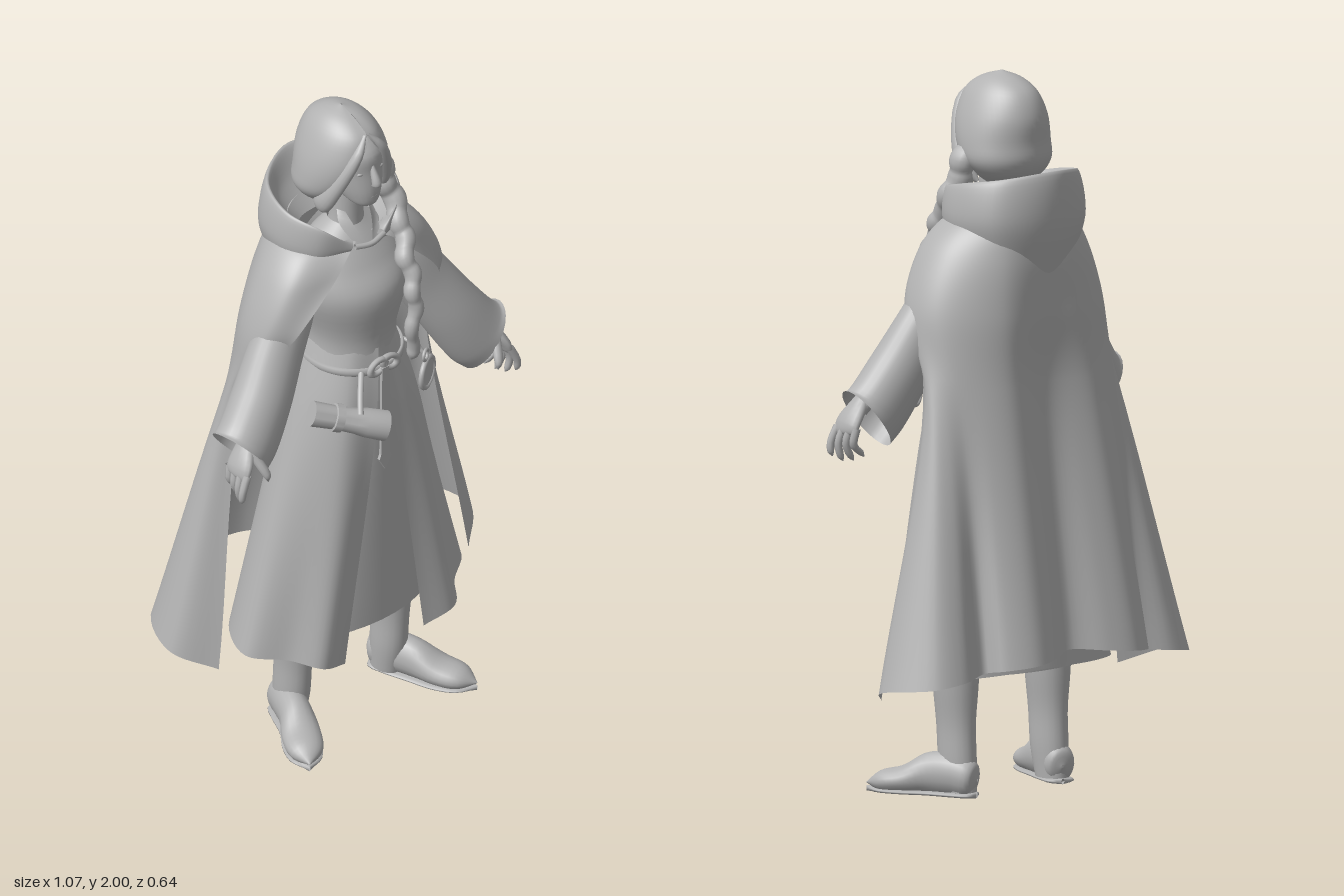
import * as THREE from 'three';
import { toCreasedNormals } from 'three/addons/utils/BufferGeometryUtils.js';

const V = (x, y, z) => new THREE.Vector3(x, y, z);
const X = V(1, 0, 0), Y = V(0, 1, 0), Z = V(0, 0, 1);
const grey = new THREE.MeshStandardMaterial({ color: 0xb2b2b2, side: THREE.DoubleSide });
grey.name = 'plain grey';

// Smooth surface through rows of points: splines along each row, then across the rows
function sheet(rows, nu, nv, closed = false) {
  const fine = rows.map(r => {
    const c = new THREE.CatmullRomCurve3(r, closed);
    return Array.from({ length: nu }, (_, i) => c.getPoint(i / (closed ? nu : nu - 1)));
  });
  const pos = [], idx = [];
  const cols = fine[0].map((_, i) => new THREE.CatmullRomCurve3(fine.map(r => r[i])));
  for (let j = 0; j < nv; j++) for (const c of cols) pos.push(...c.getPoint(j / (nv - 1)).toArray());
  const wrap = closed ? nu : nu - 1;
  for (let j = 0; j < nv - 1; j++) for (let i = 0; i < wrap; i++) {
    const a = j * nu + i, b = j * nu + (i + 1) % nu;
    idx.push(a, a + nu, b, b, a + nu, b + nu);
  }
  const g = new THREE.BufferGeometry();
  g.setAttribute('position', new THREE.Float32BufferAttribute(pos, 3));
  g.setIndex(idx);
  g.computeVertexNormals();
  return g;
}
// Ring of points around c, spanned by the vectors u and w
const ring = (c, u, w) => Array.from({ length: 12 }, (_, i) => {
  const a = i / 6 * Math.PI;
  return c.clone().addScaledVector(u, Math.sin(a)).addScaledVector(w, Math.cos(a));
});
// Upright body of ellipses: [y, rx, rz, centre z], all at centre x
const stack = (list, x = 0, nu = 28, nv = 30) => sheet(list.map(([y, rx, rz, z]) =>
  ring(V(x, y, z), V(rx, 0, 0), V(0, 0, rz))), nu, nv, true);
// Body along a path: [x, y, z, half width, half depth]
function limb(list, axis = Z, nu = 16, nv = 16) {
  const pts = list.map(([x, y, z]) => V(x, y, z));
  return sheet(list.map((s, j) => {
    const t = pts[Math.min(j + 1, pts.length - 1)].clone().sub(pts[Math.max(j - 1, 0)]).normalize();
    const u = t.clone().cross(axis).normalize(), w = t.clone().cross(u);
    return ring(pts[j], u.multiplyScalar(s[3]), w.multiplyScalar(s[4]));
  }), nu, nv, true);
}
// Cloth open at the front: rows of [front y, back y, x, z, x, z ...] from front to back, mirrored
const cloth = (rows, nu, nv) => sheet(rows.map(([yf, yb, ...xz]) => {
  const n = xz.length / 2;
  const half = Array.from({ length: n }, (_, i) =>
    V(xz[2 * i], yf + (yb - yf) * Math.sqrt(i / (n - 1)), xz[2 * i + 1]));
  return [...half, ...half.slice(0, -1).reverse().map(p => V(-p.x, p.y, p.z))];
}), nu, nv);
const tube = (pts, r) => new THREE.TubeGeometry(new THREE.CatmullRomCurve3(pts), 16, r, 8);

export function createModel() {
  const model = new THREE.Group();
  const add = (name, geo, parent = model) => {
    const m = new THREE.Mesh(geo, grey);
    m.name = name;
    parent.add(m);
    return m;
  };
  const group = name => {
    const g = new THREE.Group();
    g.name = name;
    model.add(g);
    return g;
  };

  // Head, neck and face
  const head = group('head');
  add('face', stack([[1.724, .004, .004, .125], [1.735, .034, .034, .12], [1.77, .06, .078, .085],
    [1.84, .08, .098, .06], [1.9, .083, .102, .05], [1.97, .03, .04, .03]]), head);
  add('neck', stack([[1.56, .075, .07, .03], [1.63, .05, .05, .04], [1.78, .045, .05, .05]]), head);
  add('nose', limb([[0, 1.87, .148, .006, .008], [0, 1.812, .172, .013, .014],
    [0, 1.797, .148, .002, .002]], Z, 12, 14), head);
  for (const s of [-1, 1]) {
    const lip = add('lip', new THREE.SphereGeometry(1, 12, 8), head);
    lip.scale.set(.018, .006, .008);
    lip.position.set(0, 1.772 + s * .005, .155);
    const eye = add('eye', new THREE.SphereGeometry(1, 12, 8), head);
    eye.scale.set(.014, .006, .006);
    eye.position.set(s * .032, 1.846, .144);
    add('hairLock', limb([[s * .006, 1.955, .125, .004, .008], [s * .04, 1.91, .14, .014, .016],
      [s * .088, 1.79, .095, .02, .026], [s * .1, 1.73, .055, .018, .03], [s * .09, 1.7, .02, .004, .006]]), head);
  }

  // Hair parted in the middle, [y, rx, rz, centre z, angle left open at the face]
  const hair = [[1.695, .06, .06, 0, 1.25], [1.72, .1, .085, -.01, 1.15], [1.76, .13, .115, 0, .85],
    [1.81, .131, .13, .015, .6], [1.88, .115, .138, .02, .4], [1.945, .084, .116, .022, .04],
    [1.98, .05, .068, .022, .02], [2, .002, .002, .02, .01]];
  add('hair', sheet(hair.map(([y, rx, rz, z, gap]) => Array.from({ length: 15 }, (_, i) => {
    const a = gap + (Math.PI - gap) * i / 7;
    return V(Math.sin(a) * rx, y, z + Math.cos(a) * rz);
  })), 45, 32), head);

  // Braid that swells at every plait
  const braidPath = new THREE.CatmullRomCurve3([V(.1, 1.78, .05), V(.125, 1.69, .07), V(.12, 1.6, .13),
    V(.095, 1.53, .185), V(.088, 1.45, .225), V(.08, 1.35, .235), V(.08, 1.21, .222)]);
  add('braid', limb(Array.from({ length: 45 }, (_, i) => {
    const t = i / 44, p = braidPath.getPoint(t), wave = Math.sin(t * Math.PI * 11);
    const r = i === 44 ? .002 : (.04 - .022 * t) * (.9 + .13 * Math.abs(wave));
    return [p.x + wave * .007, p.y, p.z, r, r * .9];
  }), X, 14, 100));

  // Bodice, inner skirt and the open skirt over it
  add('bodice', stack([[1.64, .05, .05, .035], [1.59, .12, .085, .037], [1.53, .16, .115, .045],
    [1.45, .168, .15, .055], [1.28, .125, .125, .06], [1.1, .16, .14, .06]], 0, 36));
  add('innerSkirt', stack([[1.25, .11, .12, .06], [1.1, .15, .14, .055], [.35, .29, .175, .02]], 0, 36, 16));
  add('overSkirt', cloth([
    [1.27, 1.27, .006, .187, .08, .155, .125, .06, .09, -.045, 0, -.09],
    [1.05, 1.05, .03, .208, .13, .187, .195, .06, .14, -.06, 0, -.115],
    [.27, .36, .14, .205, .235, .225, .295, .15, .382, .07, .335, -.06, .2, -.14, 0, -.18],
  ], 73, 28));

  // Cloak over the shoulders with a pleated hem, and lowered hood
  add('cloak', cloth([
    [1.605, 1.64, .03, .12, .13, .06, .14, -.04, .08, -.1, 0, -.12],
    [1.585, 1.59, .075, .14, .19, .075, .2, -.03, .125, -.13, 0, -.155],
    [1.53, 1.5, .13, .15, .25, .09, .258, -.03, .15, -.15, 0, -.168],
    [1.39, 1.35, .25, .135, .318, .065, .305, -.05, .165, -.165, 0, -.167],
    [1.15, 1.15, .315, 0, .345, -.05, .29, -.115, .16, -.18, 0, -.16],
    [.295, .42, .445, .03, .535, -.07, .48, -.22, .39, -.25, .29, -.222, .27, -.28, .19, -.323, .1, -.305, 0, -.25],
  ], 97, 50));
  add('hood', cloth([
    [1.61, 1.59, .03, .11, .08, .08, .1, 0, .075, -.07, 0, -.09],
    [1.615, 1.67, .05, .13, .115, .1, .15, 0, .115, -.11, 0, -.155],
    [1.61, 1.747, .055, .138, .135, .105, .18, 0, .14, -.13, 0, -.203],
    [1.6, 1.61, .06, .138, .155, .095, .2, 0, .165, -.14, 0, -.205],
    [1.58, 1.44, .06, .125, .14, .07, .16, -.02, .12, -.125, 0, -.165],
  ], 57, 32));

  // Limbs, collar and belt knot: built on the left, mirrored to the right
  for (const s of [1, -1]) {
    const side = group(s > 0 ? 'leftSide' : 'rightSide');
    const part = (name, list, axis, nu, nv) =>
      add(name, limb(list.map(([x, ...r]) => [x * s, ...r]), axis, nu, nv), side);
    part('sleeve', [[.15, 1.48, .03, .05, .05], [.2, 1.41, .04, .075, .065], [.262, 1.31, .055, .085, .072],
      [.335, 1.19, .08, .092, .08], [.405, 1.09, .1, .1, .08], [.43, 1.07, .105, .104, .08]], Z, 28, 30);
    part('forearm', [[.33, 1.23, .08, .035, .035], [.435, 1.09, .13, .022, .026]]);
    part('palm', [[.42, 1.125, .125, .02, .024], [.464, 1.055, .143, .017, .046],
      [.472, 1.03, .143, .012, .04], [.475, 1.022, .143, .001, .001]]);
    for (let i = 0; i < 4; i++) {
      const z = .18 - .025 * i, tip = .945 + .012 * Math.abs(i - 1.4);
      part('finger', [[.468, 1.045, z, .012, .012], [.488 - i * .005, 1, z + .006, .011, .011],
        [.49 - i * .014, tip + .012, z + .004, .009, .009], [.487 - i * .016, tip, z, .001, .001]], Z, 8, 10);
    }
    part('thumb', [[.435, 1.1, .155, .014, .014], [.412, 1.03, .2, .011, .011], [.409, 1.01, .2, .001, .001]], X, 10, 10);
    add('bootShaft', stack([[.7, .075, .08, .03], [.33, .06, .07, .022], [.2, .047, .062, .02],
      [.1, .046, .06, .014], [.015, .04, .052, .004]], s * .173, 20, 24), side);
    const foot = [[.162, .05, -.052, .004, .004], [.167, .05, -.04, .038, .048], [.185, .062, .01, .046, .06],
      [.212, .06, .08, .047, .058], [.245, .04, .145, .056, .038], [.277, .031, .205, .045, .029], [.298, .024, .244, .002, .002]];
    part('bootFoot', foot, Y, 20, 26);
    part('sole', foot.map(([x, , z, w]) => [x, .008, z, w, .008]), Y, 14, 18);
    add('lapel', sheet([[V(s * .05, 1.69, .06), V(s * .062, 1.66, .085), V(s * .05, 1.62, .125)],
      [V(s * .04, 1.69, .085), V(s * .03, 1.65, .115), V(s * .008, 1.595, .145)]], 8, 4), side);
    const loop = add('beltKnot', new THREE.TorusGeometry(.021, .009, 8, 18), side);
    loop.scale.set(1.3, .9, 1);
    loop.rotation.z = -s * .4;
    loop.position.set(s * .022 - .008, 1.23, .213);
  }
  add('clasp', tube([V(-.05, 1.605, .14), V(0, 1.6, .15), V(.05, 1.605, .14)], .008));

  // Belt and hanging strap
  const belt = add('belt', new THREE.TorusGeometry(.139, .006, 8, 48));
  belt.rotation.x = Math.PI / 2;
  belt.scale.set(1, 1.06, 2.2);
  belt.position.set(0, 1.215, .06);
  const strap = new THREE.Shape([[-.012, 0], [-.016, -.29], [-.022, -.305], [0, -.345], [.022, -.305], [.016, -.29],
    [.012, 0]].map(p => new THREE.Vector2(...p)));
  add('hangingStrap', new THREE.ExtrudeGeometry(strap, { depth: .009, bevelEnabled: false })).position.set(-.01, 1.225, .214);

  // Scroll case slung at the right hip
  const profile = [[0, -.11], [.043, -.11], [.041, -.05], [.036, -.02], [.034, .02], [.04, .022], [.04, .045],
    [.034, .047], [.036, .11], [0, .11]].map(p => new THREE.Vector2(...p));
  const scroll = add('scrollCase', toCreasedNormals(new THREE.LatheGeometry(profile, 24), .6));
  scroll.quaternion.setFromUnitVectors(Y, V(-.19, .075, -.1).normalize());
  scroll.position.set(-.15, 1.118, .232);
  add('caseStrap', tube([V(-.07, 1.215, .19), V(-.11, 1.17, .235), V(-.13, 1.14, .26)], .009));

  // Round lens hanging at the left hip
  const lens = group('hangingLens');
  add('lensRim', new THREE.TorusGeometry(.044, .008, 8, 32), lens);
  add('lensGlass', new THREE.CylinderGeometry(.042, .042, .008, 32), lens).rotation.x = Math.PI / 2;
  add('lensRing', new THREE.TorusGeometry(.016, .005, 8, 18), lens).position.set(-.012, .066, 0);
  lens.position.set(.165, 1.11, .19);
  lens.rotation.y = .5;
  add('lensCord', tube([V(.115, 1.22, .135), V(.135, 1.21, .17), V(.15, 1.185, .19)], .007));

  return model;
}
